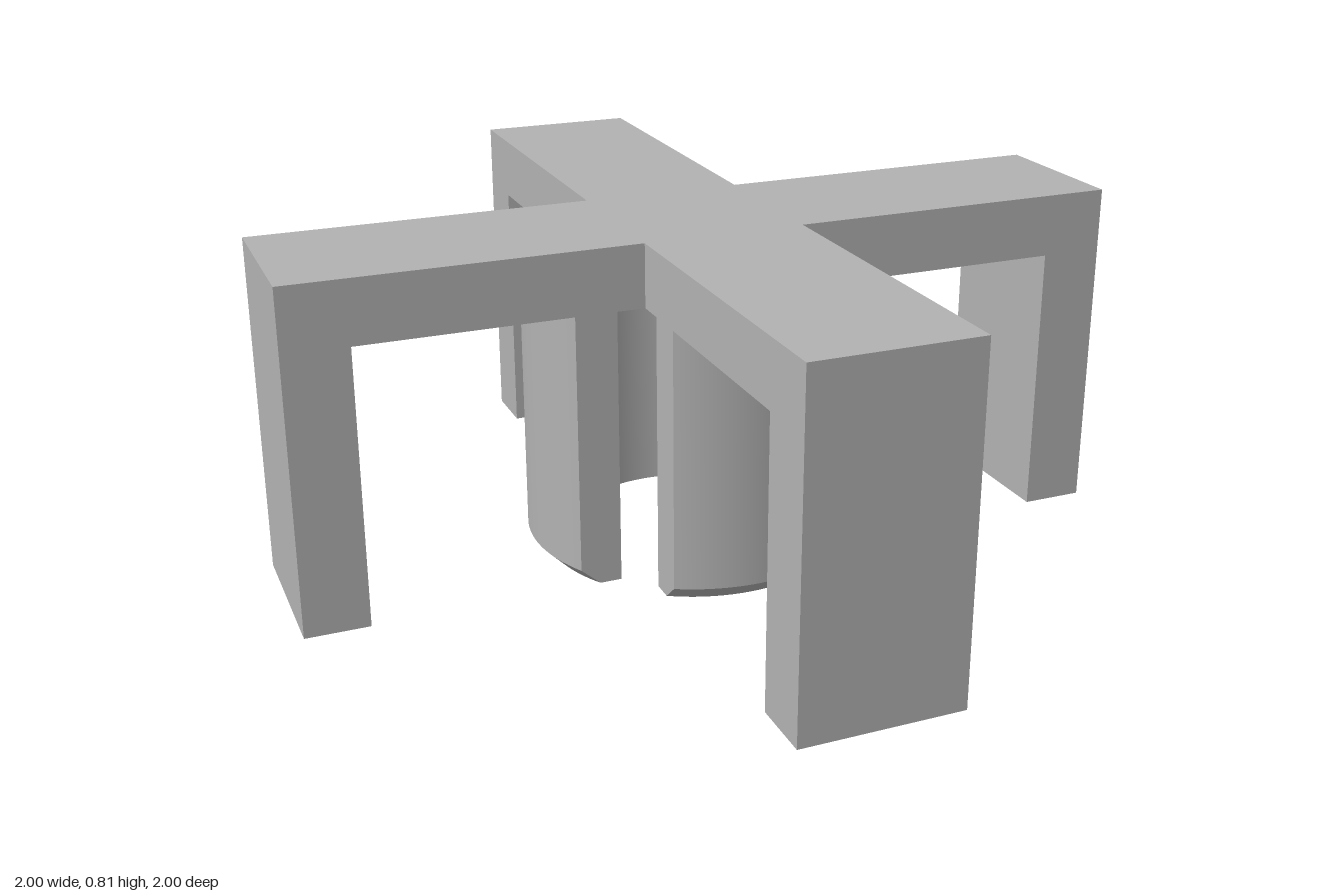
import * as THREE from 'three';
import { mergeGeometries } from 'three/addons/utils/BufferGeometryUtils.js';

const HALF = 0.192;      // half width of every arm
const REACH = 1;         // arm length from the centre
const TOP = 0.81;        // overall height
const UNDER = 0.66;      // underside of the arms
const LEG = 0.15;        // leg thickness

// Profile of a socket wall as [radius, height], from outer top round to inner top
const WALL = [[0.405, UNDER], [0.405, 0.04], [0.365, 0], [0.322, 0], [0.322, UNDER]];

function surface(points, index) {
  const g = new THREE.BufferGeometry();
  g.setAttribute('position', new THREE.Float32BufferAttribute(points, 3));
  g.setIndex(index);
  g.computeVertexNormals();
  return g;
}

// Piece of a ring, cut by two parallel planes at z = -HALF and z = HALF
function socketWallGeometry() {
  const steps = 32;
  const at = ([r, y], z) => [Math.sqrt(r * r - z * z), y, z];
  const parts = [];

  // One smooth strip for each edge of the profile, so the edges stay sharp
  for (let k = 0; k < WALL.length - 1; k++) {
    const points = [], index = [];
    for (let i = 0; i <= steps; i++) {
      const z = -HALF + (2 * HALF * i) / steps;
      points.push(...at(WALL[k], z), ...at(WALL[k + 1], z));
      if (i < steps) {
        const a = i * 2;
        index.push(a, a + 2, a + 1, a + 1, a + 2, a + 3);
      }
    }
    parts.push(surface(points, index));
  }

  // Flat cut ends
  for (const z of [-HALF, HALF]) {
    const index = [];
    for (let k = 1; k < WALL.length - 1; k++) {
      index.push(0, ...(z < 0 ? [k, k + 1] : [k + 1, k]));
    }
    parts.push(surface(WALL.flatMap((p) => at(p, z)), index));
  }
  return mergeGeometries(parts);
}

export function createModel() {
  const group = new THREE.Group();
  group.name = 'crossBracket';
  const grey = new THREE.MeshStandardMaterial({ color: 0xb2b2b2 });
  grey.name = 'grey';

  const add = (name, geometry) => {
    const mesh = new THREE.Mesh(geometry, grey);
    mesh.name = name;
    group.add(mesh);
    return mesh;
  };

  // Cross-shaped top plate
  const h = HALF, r = REACH;
  const outline = [[r, -h], [r, h], [h, h], [h, r], [-h, r], [-h, h],
    [-r, h], [-r, -h], [-h, -h], [-h, -r], [h, -r], [h, -h]];
  const cross = new THREE.Shape(outline.map(([x, y]) => new THREE.Vector2(x, y)));
  const plate = new THREE.ExtrudeGeometry(cross, { depth: TOP - UNDER, bevelEnabled: false });
  plate.rotateX(-Math.PI / 2);
  plate.translate(0, UNDER, 0);
  add('topCross', plate);

  // A leg at the end of each arm and a socket wall under each arm
  const legGeometry = new THREE.BoxGeometry(LEG, UNDER, 2 * HALF);
  legGeometry.translate(REACH - LEG / 2, UNDER / 2, 0);
  const wallGeometry = socketWallGeometry();
  ['left', 'back', 'right', 'front'].forEach((side, i) => {
    add(side + 'Leg', legGeometry).rotation.y = i * Math.PI / 2;
    add(side + 'SocketWall', wallGeometry).rotation.y = i * Math.PI / 2;
  });

  return group;
}
